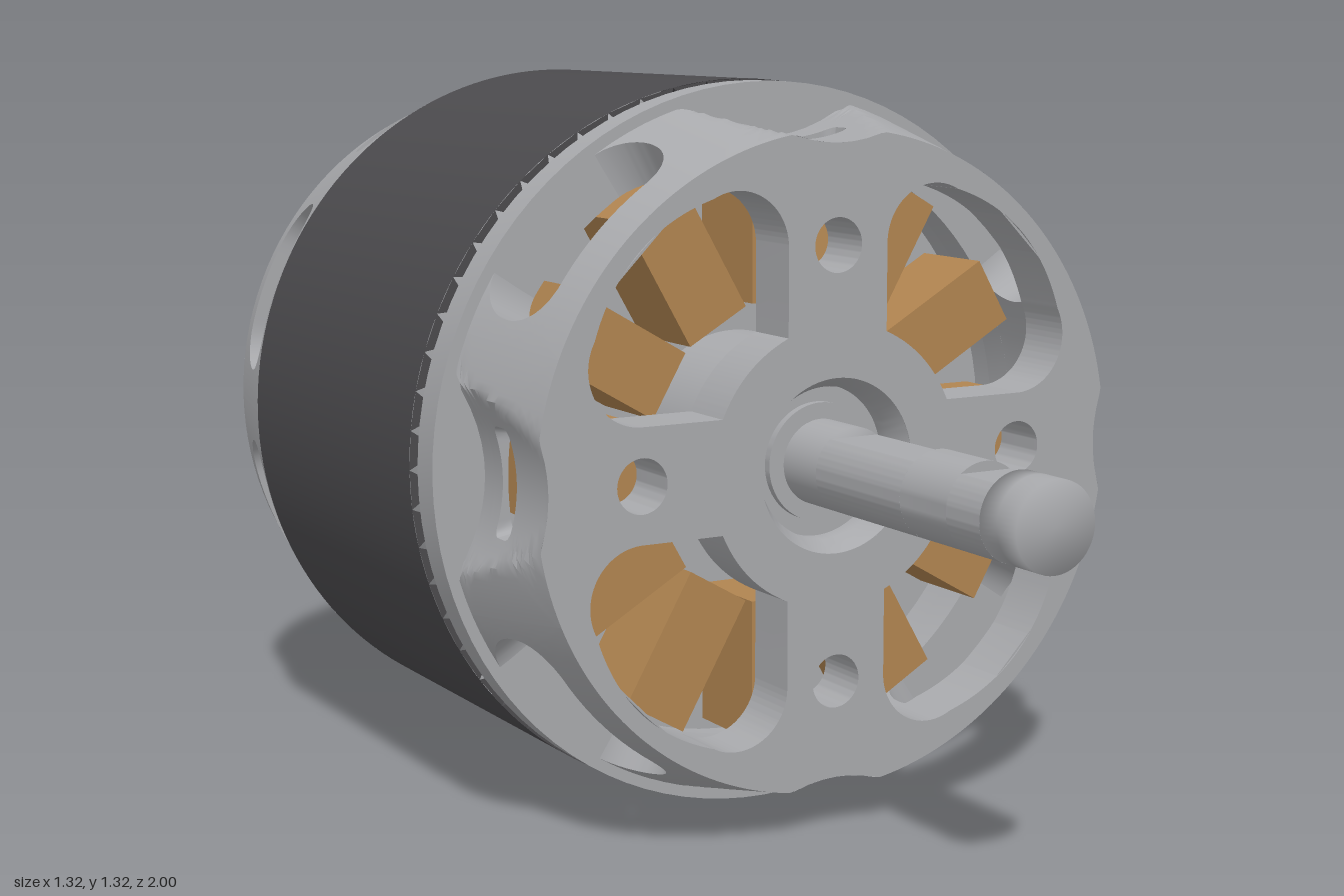
import * as THREE from 'three';
import { toCreasedNormals } from 'three/addons/utils/BufferGeometryUtils.js';

const TAU = Math.PI * 2;
const DEG = Math.PI / 180;
const AXIS_Y = 0.66;

export function createModel() {
  const model = new THREE.Group();
  model.name = 'motor';
  const body = new THREE.Group();
  body.name = 'motorBody';
  body.position.y = AXIS_Y;
  model.add(body);

  const material = (name, color) => {
    const m = new THREE.MeshStandardMaterial({ color, side: THREE.DoubleSide });
    m.name = name;
    return m;
  };
  const metal = material('aluminium', 0xa8a9ac);
  const black = material('blackSleeve', 0x4b4a4d);
  const copper = material('copper', 0xb08450);

  const add = (name, geometry, mat, crease = 35 * DEG) => {
    const mesh = new THREE.Mesh(crease ? toCreasedNormals(geometry, crease) : geometry, mat);
    mesh.name = name;
    body.add(mesh);
    return mesh;
  };

  // Surface from a rule f(u, v) -> [x, y, z]
  const sheet = (f, nu, nv) => {
    const pos = [], index = [];
    for (let i = 0; i <= nu; i++) for (let j = 0; j <= nv; j++) pos.push(...f(i / nu, j / nv));
    for (let i = 0; i < nu; i++) for (let j = 0; j < nv; j++) {
      const a = i * (nv + 1) + j, b = a + nv + 1;
      index.push(a, b, a + 1, b, b + 1, a + 1);
    }
    const g = new THREE.BufferGeometry();
    g.setAttribute('position', new THREE.Float32BufferAttribute(pos, 3));
    g.setIndex(index);
    g.computeVertexNormals();
    return g;
  };
  const polar = (r, a, z) => [r * Math.cos(a), r * Math.sin(a), z];

  // Body turned around the z axis from [radius, z] points
  const turned = (points, segments = 96) =>
    new THREE.LatheGeometry(points.map(p => new THREE.Vector2(...p)), segments).rotateX(Math.PI / 2);
  const tube = (rIn, rOut, z0, z1) =>
    turned([[rIn, z0], [rOut, z0], [rOut, z1], [rIn, z1], [rIn, z0]]);
  const circle = (x, y, r) => new THREE.Path().absarc(x, y, r, 0, TAU, true);
  const slab = (shape, z0, z1) => new THREE.ExtrudeGeometry(shape,
    { depth: z1 - z0, bevelEnabled: false, curveSegments: 48 }).translate(0, 0, z0);

  // One sector of a thick wall with a rounded slot in it
  const slotSector = (name, angle, z0, z1, rOut, rIn, slot) => {
    const R = 0.61, half = Math.PI / 8;
    const edge = u => {
      const s = Math.floor(u * 4) % 4, t = (u * 4 - Math.floor(u * 4)) * 2 - 1;
      return [[t, -1], [1, t], [-t, 1], [-1, -t]][s];
    };
    const flat = (u, v) => {
      const [ex, ey] = edge(u), r = slot.radius;
      const px = ex * slot.halfWidth, py = ey * slot.halfHeight;
      const cx = THREE.MathUtils.clamp(px, r - slot.halfWidth, slot.halfWidth - r);
      const cy = THREE.MathUtils.clamp(py, r - slot.halfHeight, slot.halfHeight - r);
      const d = Math.hypot(px - cx, py - cy) || 1;
      const sx = (cx + (px - cx) / d * r) / R, sz = slot.z + cy + (py - cy) / d * r;
      return [angle + THREE.MathUtils.lerp(sx, ex * half, v),
        THREE.MathUtils.lerp(sz, ey < 0 ? z0 + (ey + 1) / 2 * (z1 - z0) : z1 - (1 - ey) / 2 * (z1 - z0), v)];
    };
    add(name, sheet((u, v) => { const [a, z] = flat(u, v); return polar(rOut(a, z), a, z); }, 64, 10), metal);
    add(name + 'Inside', sheet((u, v) => { const [a, z] = flat(u, v); return polar(rIn, a, z); }, 64, 3), metal);
    add(name + 'SlotWall', sheet((u, v) => {
      const [a, z] = flat(u, 0);
      return polar(THREE.MathUtils.lerp(rOut(a, z), rIn, v), a, z);
    }, 64, 1), metal);
  };

  // Front mount: cone with four scallops at the sides, top and bottom
  const mountRadius = (a, z) => {
    const cone = 0.638 - (z - 0.135) / 0.245 * 0.055;
    const d = a - Math.round(a / (Math.PI / 2)) * Math.PI / 2;
    const c = Math.cos(d), s = Math.sin(d), q = c * c - 4.256 * s * s;
    return q < 0 ? cone : Math.min(cone, 1.12 / (c + Math.sqrt(q)));
  };
  const wideSlot = { halfWidth: 0.2, halfHeight: 0.085, radius: 0.083, z: 0.22 };
  const smallSlot = { halfWidth: 0.1, halfHeight: 0.027, radius: 0.015, z: 0.235 };
  for (let i = 0; i < 8; i++)
    slotSector('frontMountWall', i * Math.PI / 4, 0.135, 0.38, mountRadius, 0.55, i % 2 ? wideSlot : smallSlot);
  add('frontMountRing', tube(0.55, 0.658, 0.075, 0.137), metal);

  // Front plate with coil openings, screw holes and the bearing bore
  const cutPlate = shape => {
    shape.holes.push(circle(0, 0, 0.155));
    for (let i = 0; i < 4; i++) {
      const a = i * Math.PI / 2;
      shape.holes.push(circle(0.385 * Math.cos(a), 0.385 * Math.sin(a), 0.048));
      const opening = new THREE.Path();
      const at = (x, y) => [x * Math.cos(a) - y * Math.sin(a), x * Math.sin(a) + y * Math.cos(a)];
      opening.moveTo(...at(0.23, 0.1));
      opening.lineTo(...at(0.385, 0.1));
      opening.absarc(...at(0.385, 0.2), 0.1, a - Math.PI / 2, a + 28 * DEG, false);
      opening.quadraticCurveTo(...at(0.42, 0.42), ...at(0.247, 0.473));
      opening.absarc(...at(0.2, 0.385), 0.1, a + 62 * DEG, a + Math.PI, false);
      opening.lineTo(...at(0.1, 0.23));
      opening.quadraticCurveTo(...at(0.19, 0.19), ...at(0.23, 0.1));
      shape.holes.push(opening);
    }
    return shape;
  };
  const outline = [];
  for (let i = 0; i < 192; i++) {
    const [x, y] = polar(mountRadius(i / 192 * TAU, 0.38), i / 192 * TAU, 0);
    outline.push(new THREE.Vector2(x, y));
  }
  add('frontFace', new THREE.ShapeGeometry(cutPlate(new THREE.Shape(outline)), 48).translate(0, 0, 0.38), metal);
  const disc = r => new THREE.Shape().absarc(0, 0, r, 0, TAU, false);
  add('frontPlate', slab(cutPlate(disc(0.55)), 0.27, 0.379), metal);

  // Bearing seat and the tube that carries the stator
  add('bearingSeat', turned([[0.156, 0.38], [0.135, 0.34], [0.135, 0.31], [0.105, 0.31], [0.105, 0.325], [0.07, 0.325]]), metal);
  add('bearingTube', tube(0.156, 0.2, -0.75, 0.28), metal);

  // Stator core and twelve coils
  add('statorCore', tube(0.19, 0.555, -0.62, 0.02), metal);
  for (let i = 0; i < 12; i++) {
    const a = i * TAU / 12;
    const coil = add('coil', new THREE.BoxGeometry(0.26, 0.13, 1.01), copper, 0);
    coil.position.set(0.4 * Math.cos(a), 0.4 * Math.sin(a), -0.305);
    coil.rotation.z = a;
  }

  // Rotor can under the sleeve
  add('rotorCan', tube(0.572, 0.602, -0.7, 0.08), metal);

  // Black sleeve: wraps the top and the far side, ends in spikes underneath
  const front = 0.045, back = -0.7, rSleeve = 0.66;
  add('sleeve', sheet((u, v) => {
    const start = THREE.MathUtils.lerp(-5.2, 0.5, v) * DEG;
    return polar(rSleeve, THREE.MathUtils.lerp(start, 270 * DEG, u), THREE.MathUtils.lerp(front, back, v));
  }, 120, 1), black);
  for (const base of [-63, -74, -85])
    add('sleeveSpike', sheet((u, v) => polar(rSleeve,
      (base + THREE.MathUtils.lerp(u * 9, 3, v)) * DEG, THREE.MathUtils.lerp(front, back, v)), 3, 12), black);
  for (let i = 0; i < 60; i++)
    add('sleeveTooth', sheet((u, v) => polar(THREE.MathUtils.lerp(rSleeve, 0.602, v),
      (i + THREE.MathUtils.lerp(u, 0.5, v)) * TAU / 60, front), 1, 1), black, 0);

  // Rear bell with eight windows
  const bellRadius = (a, z) => 0.66 - (-0.7 - z) / 0.225 * 0.052;
  const bellSlot = { halfWidth: 0.17, halfHeight: 0.083, radius: 0.08, z: -0.795 };
  for (let i = 0; i < 8; i++)
    slotSector('rearBellWall', (i + 0.5) * Math.PI / 4, -0.925, -0.7, bellRadius, 0.565, bellSlot);
  add('rearBellRim', tube(0.565, 0.659, -0.705, -0.7), metal);
  add('rearBellEdge', turned([[0.565, -0.925], [0.608, -0.925], [0.598, -0.944]]), metal);
  const rear = disc(0.598);
  for (const x of [-0.16, 0.16]) for (const y of [-0.16, 0.16]) rear.holes.push(circle(x, y, 0.042));
  add('rearPlate', slab(rear, -0.945, -0.895), metal);

  // Shaft: round lengths with softly shaded ends, and lengths with a flat on top
  const rShaft = 0.076;
  add('shaft', turned([[0, -1], [rShaft, -1], [rShaft, -0.9], [rShaft, 0.43], [0, 0.43]], 48), metal, 0);
  add('shaftMiddle', turned([[0, 0.685], [rShaft, 0.685], [rShaft, 0.815], [0, 0.815]], 48), metal);
  add('shaftTip', turned([[0, 0.905], [rShaft, 0.905], [rShaft, 0.95], [rShaft, 1], [0, 1]], 48), metal, 0);
  const flatted = new THREE.Shape().absarc(0, 0, rShaft, 129 * DEG, 411 * DEG, false);
  add('shaftLongFlat', slab(flatted, 0.43, 0.685), metal);
  add('shaftShortFlat', slab(flatted, 0.815, 0.905), metal);

  return model;
}
